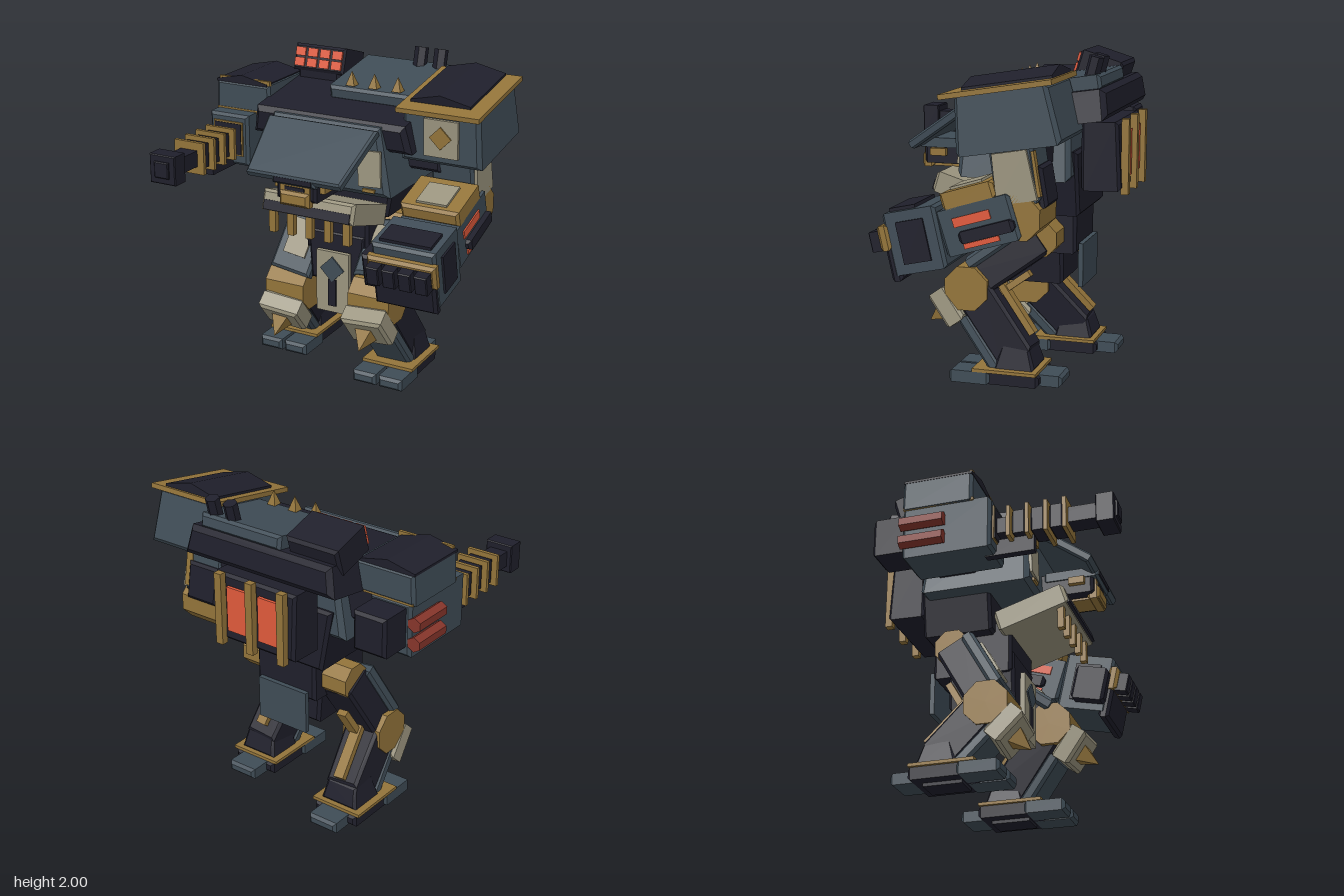
import * as THREE from 'three';

const mat = (name, hex) => Object.assign(new THREE.MeshStandardMaterial({ color: hex }), { name });
const slate = mat('slate', 0x3f4c56), navy = mat('navy', 0x1f1f2b), gold = mat('gold', 0x93743a);
const bone = mat('bone', 0x9a947e), orange = mat('orange', 0xe05a3c), red = mat('darkRed', 0x86352b);

function add(parent, name, geo, m, pos, rx = 0, ry = 0, rz = 0) {
  if (geo.index) geo = geo.toNonIndexed();
  geo.computeVertexNormals(); // flat facets
  const mesh = new THREE.Mesh(geo, m);
  mesh.name = name;
  mesh.position.set(...pos);
  mesh.rotation.set(rx, ry, rz);
  parent.add(mesh);
  return mesh;
}

function group(parent, name, pos, rx = 0) {
  const g = new THREE.Group();
  g.name = name;
  g.position.set(...pos);
  g.rotation.x = rx;
  parent.add(g);
  return g;
}

// Chamfered box; tx and tz scale its top against its bottom
function box(parent, name, m, [w, h, d], pos, rx = 0, { b = 0.018, tx = 1, tz = 1, rz = 0 } = {}) {
  let geo;
  if (Math.min(w, h, d) < 0.06) geo = new THREE.BoxGeometry(w, h, d);
  else {
    const s = new THREE.Shape([[-1, -1], [1, -1], [1, 1], [-1, 1]].map(([x, y]) => new THREE.Vector2(x * w / 2, y * h / 2)));
    geo = new THREE.ExtrudeGeometry(s, { depth: d - 2 * b, bevelSize: b, bevelThickness: b, bevelOffset: -b, bevelSegments: 1 });
    geo.translate(0, 0, b - d / 2);
  }
  const p = geo.attributes.position;
  for (let i = 0; i < p.count; i++) {
    const t = p.getY(i) / h + 0.5;
    p.setX(i, p.getX(i) * (1 + (tx - 1) * t));
    p.setZ(i, p.getZ(i) * (1 + (tz - 1) * t));
  }
  return add(parent, name, geo, m, pos, rx, 0, rz);
}

// Polygonal disc with its axis along x
function disc(parent, name, m, r, len, pos) {
  const geo = new THREE.CylinderGeometry(r, r, len, 8).rotateY(Math.PI / 8).rotateZ(Math.PI / 2);
  return add(parent, name, geo, m, pos);
}

// Four-sided spike pointing along +z, or +y when up
function spike(parent, name, r, h, pos, up) {
  const geo = new THREE.ConeGeometry(r, h, 4).rotateY(Math.PI / 4);
  return add(parent, name, geo, gold, pos, up ? 0 : Math.PI / 2);
}

// Ridged roof plate running along z
function roof(parent, name, w, d, rise, pos) {
  const s = new THREE.Shape([[-w / 2, 0], [w / 2, 0], [w / 2, 0.015], [0, rise], [-w / 2, 0.015]].map(a => new THREE.Vector2(...a)));
  return add(parent, name, new THREE.ExtrudeGeometry(s, { depth: d, bevelEnabled: false }).translate(0, 0, -d / 2), navy, pos);
}

// Group at the middle of a limb whose local y runs from b up to a
function limb(parent, name, a, b) {
  const A = new THREE.Vector3(...a), B = new THREE.Vector3(...b);
  const g = group(parent, name, A.clone().add(B).multiplyScalar(0.5).toArray());
  g.quaternion.setFromUnitVectors(new THREE.Vector3(0, 1, 0), A.clone().sub(B).normalize());
  return [g, A.distanceTo(B)];
}

function leg(root, name, hip, knee, ankle) {
  const g = group(root, name, [0, 0, 0]);
  disc(g, 'hipJoint', gold, 0.115, 0.21, hip);
  const [thigh, tl] = limb(g, 'thigh', hip, knee);
  box(thigh, 'thighCore', navy, [0.24, tl, 0.21], [0, -0.01, 0]);
  box(thigh, 'thighPlate', slate, [0.29, 0.42, 0.08], [0, 0.02, 0.11]);
  box(thigh, 'thighBadge', bone, [0.16, 0.24, 0.02], [0, 0.04, 0.155]);
  box(thigh, 'thighStrut', gold, [0.07, 0.34, 0.04], [0, -0.1, -0.14]);
  disc(g, 'kneeJoint', gold, 0.145, 0.28, knee);
  const [shin, sl] = limb(g, 'shin', knee, ankle);
  box(shin, 'shinCore', navy, [0.22, sl, 0.24], [0, 0, -0.01], 0, { tx: 1.1 });
  box(shin, 'shinGuard', slate, [0.24, 0.38, 0.08], [0, -0.07, 0.13]);
  box(shin, 'kneeCap', bone, [0.28, 0.23, 0.13], [0, sl / 2 - 0.035, 0.18]);
  spike(shin, 'kneeSpike', 0.08, 0.13, [0, sl / 2 - 0.04, 0.305]);
  box(shin, 'shinStrut', gold, [0.07, 0.36, 0.04], [0, -0.01, -0.16]);
  // Foot
  const f = group(g, 'foot', [ankle[0], 0, ankle[2]]);
  box(f, 'ankle', navy, [0.26, 0.14, 0.26], [0, 0.18, 0], 0, { tx: 0.8, tz: 0.65 });
  box(f, 'footPlate', gold, [0.35, 0.02, 0.4], [0, 0.105, 0.05]);
  box(f, 'sole', navy, [0.31, 0.075, 0.4], [0, 0.058, 0.04]);
  box(f, 'solePad', navy, [0.16, 0.03, 0.24], [0, 0.015, 0.03]);
  for (const s of [-1, 1]) box(f, 'toe', slate, [0.16, 0.075, 0.26], [s * 0.09, 0.057, 0.27]);
  box(f, 'heel', slate, [0.2, 0.07, 0.18], [0, 0.057, -0.2]);
}

function torso(root) {
  const g = group(root, 'torso', [-0.02, 0, 0]);
  box(g, 'chest', slate, [0.9, 0.42, 0.7], [0, 1.47, -0.17], 0, { b: 0.03, tx: 0.81, tz: 0.93 });
  box(g, 'upperHull', navy, [1.09, 0.18, 0.86], [0, 1.67, -0.32], 0.15, { b: 0.03, tx: 0.93 });
  box(g, 'shoulderBar', navy, [1.26, 0.24, 0.26], [0, 1.48, -0.28]);
  box(g, 'lowerBack', navy, [0.6, 0.4, 0.44], [0, 1.23, -0.32], 0, { tx: 1.25 });
  box(g, 'waist', navy, [0.44, 0.32, 0.5], [0, 0.94, -0.25]);
  box(g, 'pelvis', navy, [0.36, 0.34, 0.42], [0, 0.75, -0.2], 0, { tx: 1.15 });
  box(g, 'rearSkirt', slate, [0.36, 0.27, 0.03], [0, 0.705, -0.52]);
  // Chest details and sloping visor
  for (const s of [-1, 1]) {
    box(g, 'chestBadge', bone, [0.15, 0.22, 0.02], [s * 0.32, 1.435, 0.176], -0.05, { rz: s * 0.06 });
    box(g, 'chestTrim', gold, [0.08, 0.02, 0.02], [s * 0.32, 1.3, 0.182]);
  }
  box(g, 'visor', slate, [0.63, 0.44, 0.06], [0, 1.535, 0.345], -0.97, { b: 0.012, tx: 1.18 });
  // Head
  box(g, 'head', navy, [0.27, 0.15, 0.36], [0, 1.355, 0.32]);
  box(g, 'brow', slate, [0.29, 0.06, 0.35], [0, 1.41, 0.36]);
  box(g, 'browSlot', navy, [0.25, 0.03, 0.01], [0, 1.41, 0.534]);
  box(g, 'eyeBand', gold, [0.34, 0.045, 0.1], [0, 1.355, 0.4]);
  box(g, 'eyeFrame', gold, [0.2, 0.05, 0.02], [0, 1.355, 0.5]);
  box(g, 'eyeSlit', navy, [0.13, 0.022, 0.008], [0, 1.358, 0.512]);
  box(g, 'snout', gold, [0.2, 0.09, 0.08], [0, 1.295, 0.49]);
  box(g, 'chinTray', gold, [0.16, 0.015, 0.32], [0, 1.262, 0.36]);
  // Collar with hanging bars
  const jaw = group(g, 'collar', [0, 1.135, 0.15], -0.3);
  box(jaw, 'collarBlock', bone, [0.63, 0.13, 0.46], [0, 0, 0]);
  box(jaw, 'collarSlot', navy, [0.59, 0.06, 0.02], [0, -0.03, 0.226]);
  for (let i = -2; i <= 2; i++) box(g, 'collarBar', gold, [0.045, 0.16, 0.04], [i * 0.128, 1.07, 0.33]);
  // Loincloth
  box(g, 'loincloth', bone, [0.23, 0.41, 0.03], [0, 0.595, 0.04]);
  box(g, 'loinclothDiamond', slate, [0.12, 0.12, 0.01], [0, 0.685, 0.06], 0, { rz: Math.PI / 4 });
  box(g, 'loinclothBar', navy, [0.055, 0.18, 0.01], [0, 0.525, 0.059]);
  // Top deck, spikes and exhausts
  box(g, 'deckPanel', slate, [0.59, 0.09, 0.55], [0.16, 1.81, -0.425], 0.16);
  for (const x of [0.005, 0.16, 0.32]) spike(g, 'deckSpike', 0.042, 0.09, [x, 1.868, -0.19], true);
  for (const x of [0.255, 0.39]) add(g, 'exhaust', new THREE.CylinderGeometry(0.044, 0.044, 0.15, 6), navy, [x, 1.92, -0.64], -0.25);
  // Backpack
  box(g, 'backpack', navy, [0.59, 0.41, 0.24], [0, 1.395, -0.66], 0.03, { tz: 0.92 });
  for (const s of [-1, 0, 1]) box(g, 'backBar', gold, [0.05, 0.45, 0.045], [s * 0.228, 1.395, -0.8]);
  for (const s of [-1, 1]) box(g, 'backVent', orange, [0.14, 0.28, 0.02], [s * 0.115, 1.4, -0.785]);
  // Missile pod
  const pod = group(g, 'missilePod', [-0.345, 1.862, -0.53], -0.3);
  box(pod, 'podCase', navy, [0.36, 0.17, 0.28], [0, 0, 0]);
  box(g, 'podMount', navy, [0.3, 0.12, 0.26], [-0.345, 1.78, -0.52]);
  for (let i = 0; i < 8; i++)
    box(pod, 'missile', orange, [0.07, 0.055, 0.02], [((i % 4) - 1.5) * 0.088, i < 4 ? 0.033 : -0.033, 0.14]);
}

// Right arm carrying the cannon
function gunArm(root) {
  const g = group(root, 'cannonArm', [-0.75, 1.44, 0]);
  box(g, 'shoulder', slate, [0.4, 0.19, 0.44], [0.04, 0.25, -0.25], 0, { tx: 0.96 });
  box(g, 'shoulderRim', gold, [0.38, 0.02, 0.44], [0.04, 0.165, -0.245]);
  box(g, 'shoulderTrim', gold, [0.37, 0.03, 0.02], [0.05, 0.358, -0.046]);
  roof(g, 'shoulderRoof', 0.37, 0.43, 0.055, [0.03, 0.337, -0.248]);
  box(g, 'gunBody', slate, [0.28, 0.33, 0.55], [0, 0, -0.195]);
  box(g, 'gunRear', navy, [0.22, 0.24, 0.24], [0, 0.02, -0.55]);
  box(g, 'gunFrame', gold, [0.21, 0.22, 0.02], [0, 0.01, 0.08]);
  box(g, 'gunFace', navy, [0.19, 0.2, 0.02], [0, 0.01, 0.085]);
  box(g, 'barrel', navy, [0.12, 0.1, 0.68], [0, 0.005, 0.4]);
  box(g, 'barrelRail', navy, [0.05, 0.1, 0.3], [0, -0.12, 0.16]);
  for (let i = 0; i < 4; i++) {
    box(g, 'barrelRing', gold, [0.21, 0.2, 0.024], [0, 0.005, 0.175 + i * 0.113]);
    if (i < 3) box(g, 'barrelSleeve', navy, [0.15, 0.15, 0.08], [0, 0.005, 0.231 + i * 0.113], 0, { b: 0.008 });
  }
  box(g, 'muzzle', navy, [0.18, 0.18, 0.11], [0, 0.005, 0.75], 0, { b: 0.006 });
  box(g, 'muzzleTip', navy, [0.1, 0.1, 0.06], [0, 0.005, 0.79], 0, { b: 0.006 });
  for (const y of [-0.07, 0.05])
    add(g, 'canister', new THREE.CylinderGeometry(0.046, 0.046, 0.27, 6).rotateX(Math.PI / 2), red, [-0.164, y, -0.335]);
}

// Left arm with the large pauldron and fist
function fistArm(root) {
  const g = group(root, 'fistArm', [0, 0, 0]);
  const s = group(g, 'pauldron', [0.68, 1.68, -0.28], 0.16);
  box(s, 'pauldronBody', slate, [0.52, 0.34, 0.62], [0, 0, 0.005], 0, { b: 0.025, tx: 0.94, tz: 0.87 });
  box(s, 'pauldronRim', gold, [0.53, 0.03, 0.66], [0.01, 0.175, 0.025]);
  roof(s, 'pauldronRoof', 0.385, 0.53, 0.06, [-0.015, 0.19, -0.02]);
  box(s, 'pauldronBadge', bone, [0.22, 0.23, 0.03], [0.01, 0.005, 0.3], -0.12);
  box(s, 'pauldronDiamond', gold, [0.1, 0.1, 0.02], [0.01, 0.012, 0.313], -0.12, { rz: Math.PI / 4 });
  box(g, 'upperArm', slate, [0.28, 0.34, 0.26], [0.68, 1.36, -0.3], 0.15);
  box(g, 'upperArmPlate', bone, [0.03, 0.29, 0.24], [0.825, 1.35, -0.3], 0.17, { tz: 0.85 });
  box(g, 'elbowGuard', navy, [0.24, 0.24, 0.06], [0.66, 1.29, -0.44], 0.17);
  box(g, 'upperArmBar', gold, [0.05, 0.26, 0.03], [0.79, 1.37, -0.42], 0.17);
  disc(g, 'elbow', gold, 0.14, 0.34, [0.67, 1.12, -0.33]);
  const f = group(g, 'forearm', [0.67, 1.06, -0.1], 0.3);
  box(f, 'forearmBody', slate, [0.38, 0.27, 0.46], [0, 0.005, 0]);
  box(f, 'forearmPlate', gold, [0.38, 0.1, 0.33], [0, 0.185, 0.01]);
  box(f, 'forearmInset', bone, [0.2, 0.02, 0.2], [0, 0.24, 0.03]);
  for (const x of [-1, 1]) {
    box(f, 'forearmLight', orange, [0.02, 0.055, 0.23], [x * 0.189, 0.055, 0.02]);
    box(f, 'forearmRail', navy, [0.06, 0.07, 0.34], [x * 0.195, -0.035, -0.05]);
    box(f, 'forearmLowLight', orange, [0.02, 0.03, 0.22], [x * 0.189, -0.09, 0.0]);
  }
  const h = group(g, 'fist', [0.67, 0.955, 0.28], 0.22);
  box(h, 'fistBlock', slate, [0.41, 0.37, 0.33], [0, 0, 0]);
  box(h, 'fistTopPanel', navy, [0.33, 0.04, 0.16], [0, 0.185, 0.045]);
  for (const x of [-1, 1]) box(h, 'fistSidePanel', navy, [0.02, 0.25, 0.17], [x * 0.208, 0, 0]);
  box(h, 'knuckleGuard', gold, [0.44, 0.15, 0.07], [0, 0.045, 0.175]);
  box(h, 'knucklePlate', navy, [0.39, 0.11, 0.02], [0, 0.035, 0.207]);
  box(h, 'fingerPlate', navy, [0.4, 0.24, 0.07], [0, -0.1, 0.155]);
  for (let i = 0; i < 4; i++) box(h, 'knuckle', navy, [0.08, 0.12, 0.09], [(i - 1.5) * 0.103, 0.03, 0.23], 0, { b: 0.006 });
  box(h, 'thumb', navy, [0.09, 0.22, 0.22], [-0.24, -0.03, 0.05]);
}

export function createModel() {
  const root = new THREE.Group();
  root.name = 'walkerRobot';
  torso(root);
  gunArm(root);
  fistArm(root);
  leg(root, 'leftLeg', [0.27, 0.9, -0.32], [0.33, 0.585, 0.11], [0.37, 0.16, -0.2]);
  leg(root, 'rightLeg', [-0.31, 0.9, -0.32], [-0.37, 0.47, -0.07], [-0.405, 0.16, -0.36]);
  return root;
}
